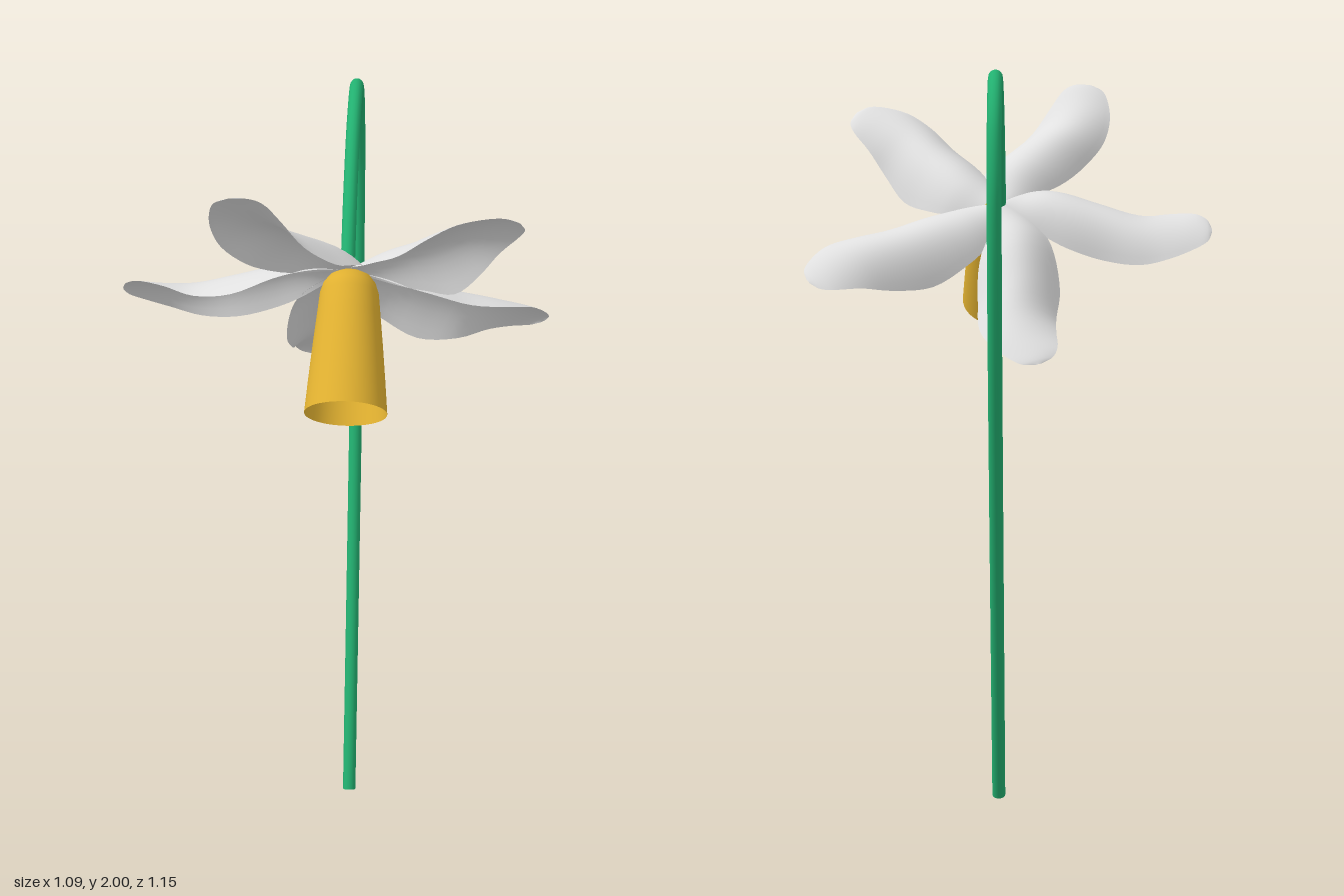
import * as THREE from 'three';

const petalWhite = new THREE.MeshStandardMaterial({ name: 'petalWhite', color: 0xe0e0e0, side: THREE.DoubleSide });
const cupYellow = new THREE.MeshStandardMaterial({ name: 'cupYellow', color: 0xe0b030, side: THREE.DoubleSide });
const stemGreen = new THREE.MeshStandardMaterial({ name: 'stemGreen', color: 0x22b070 });

// Petal sections: distance from centre, edge A, edge B, then depth at edge A, middle and edge B
const SECTIONS = [
  [0.00, -0.004, 0.004, 0.000, 0.000, 0.000],
  [0.05, -0.050, 0.045, 0.015, 0.000, 0.015],
  [0.12, -0.090, 0.090, 0.040, -0.010, 0.040],
  [0.18, -0.095, 0.120, 0.060, -0.010, 0.055],
  [0.28, -0.078, 0.152, 0.095, 0.002, 0.070],
  [0.38, -0.035, 0.178, 0.085, 0.012, 0.060],
  [0.46, -0.008, 0.172, 0.050, 0.015, 0.040],
  [0.53, 0.012, 0.142, 0.030, 0.018, 0.030],
  [0.56, 0.035, 0.118, 0.028, 0.022, 0.028],
  [0.572, 0.070, 0.085, 0.028, 0.027, 0.028],
];

// Loft a curved, domed petal through the sections
function petalGeometry(rows = 36, cols = 14) {
  const rail = (pick) => new THREE.CatmullRomCurve3(SECTIONS.map((s) => new THREE.Vector3(...pick(s))));
  const edgeA = rail((s) => [s[0], s[1], s[3]]);
  const middle = rail((s) => [s[0], (s[1] + s[2]) / 2, s[4]]);
  const edgeB = rail((s) => [s[0], s[2], s[5]]);
  const positions = [];
  const indices = [];
  for (let i = 0; i <= rows; i++) {
    const [a, m, b] = [edgeA, middle, edgeB].map((c) => c.getPoint(i / rows));
    for (let j = 0; j <= cols; j++) {
      const t = (2 * j) / cols - 1;
      const p = new THREE.Vector3()
        .addScaledVector(a, (t * (t - 1)) / 2)
        .addScaledVector(m, 1 - t * t)
        .addScaledVector(b, (t * (t + 1)) / 2);
      positions.push(p.x, p.y, p.z);
      if (i < rows && j < cols) {
        const k = i * (cols + 1) + j;
        const n = k + cols + 1;
        indices.push(k, n, k + 1, n, n + 1, k + 1);
      }
    }
  }
  const geometry = new THREE.BufferGeometry();
  geometry.setAttribute('position', new THREE.Float32BufferAttribute(positions, 3));
  geometry.setIndex(indices);
  geometry.computeVertexNormals();
  return geometry;
}

function addMesh(parent, name, geometry, material) {
  const mesh = new THREE.Mesh(geometry, material);
  mesh.name = name;
  parent.add(mesh);
  return mesh;
}

export function createModel() {
  const model = new THREE.Group();
  model.name = 'noddingFlower';

  // Arched stem, listed as height and depth
  const path = new THREE.CatmullRomCurve3([
    [0.01, 0], [0.53, -0.2], [1.0, -0.37], [1.34, -0.48], [1.6, -0.54], [1.75, -0.548], [1.88, -0.513],
    [1.955, -0.445], [1.982, -0.365], [1.935, -0.19], [1.865, -0.07], [1.765, 0.05], [1.63, 0.17],
  ].map(([y, z]) => new THREE.Vector3(0.057, y, z)));
  addMesh(model, 'stem', new THREE.TubeGeometry(path, 90, 0.018, 16), stemGreen);

  // Flat cut at the foot of the stem
  const foot = addMesh(model, 'stemFoot', new THREE.CircleGeometry(0.018, 16), stemGreen);
  foot.position.copy(path.getPoint(0));
  foot.quaternion.setFromUnitVectors(new THREE.Vector3(0, 0, 1), path.getTangent(0).negate());

  // Flower head, with its own z running along the cup
  const head = new THREE.Group();
  head.name = 'flowerHead';
  head.position.set(0.053, 1.64, 0.16);
  head.rotation.x = 0.878;
  model.add(head);

  // Five matching petals around the cup
  const petal = petalGeometry();
  for (let i = 0; i < 5; i++) {
    const mesh = addMesh(head, `petal${i + 1}`, petal, petalWhite);
    mesh.rotation.z = Math.PI + (i * Math.PI * 2) / 5;
  }

  // Open cup with a rounded base
  const profile = [
    [0, 0], [0.03, 0.004], [0.052, 0.016], [0.066, 0.035], [0.074, 0.06],
    [0.08, 0.12], [0.088, 0.2], [0.096, 0.29], [0.103, 0.375],
  ].map(([r, y]) => new THREE.Vector2(r, y));
  const cup = addMesh(head, 'cup', new THREE.LatheGeometry(profile, 40), cupYellow);
  cup.rotation.x = Math.PI / 2;
  cup.position.x = 0.01;

  return model;
}
